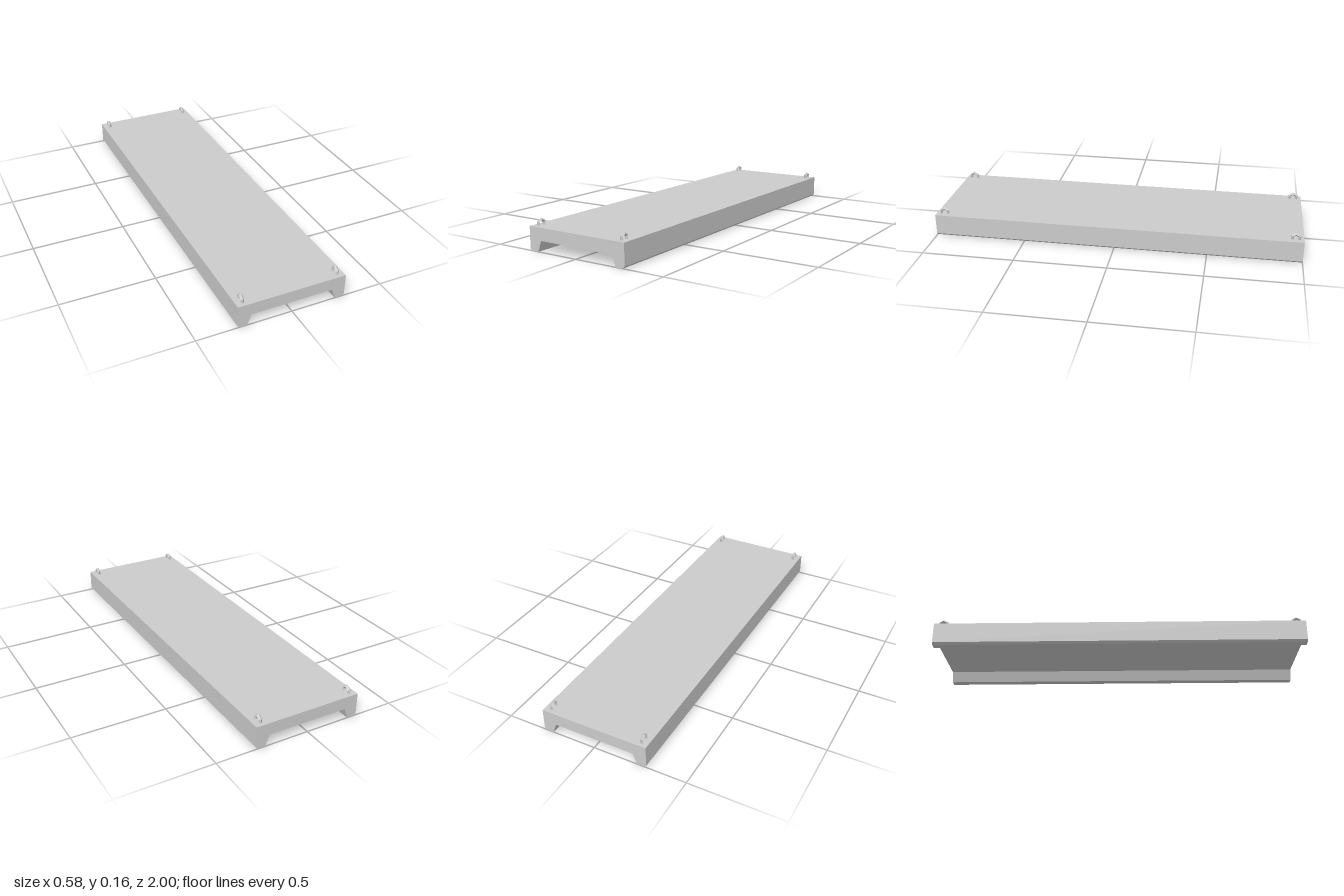
import * as THREE from 'three';

export function createModel() {
  const model = new THREE.Group();
  const material = new THREE.MeshStandardMaterial({ color: 0xcccccc, flatShading: true });

  // Channel slab: half of the cross-section, mirrored, extruded along z
  const half = [[0.217, 0.057], [0.238, 0], [0.278, 0], [0.289, 0.011], [0.289, 0.122]];
  const mirrored = half.map(([x, y]) => [-x, y]).reverse();
  const profile = new THREE.Shape([...half, ...mirrored].map(([x, y]) => new THREE.Vector2(x, y)));
  const slabGeometry = new THREE.ExtrudeGeometry(profile, { depth: 2, bevelEnabled: false });
  slabGeometry.translate(0, 0, -1);
  const slab = new THREE.Mesh(slabGeometry, material);
  slab.name = 'channelSlab';
  model.add(slab);

  // Lifting loops: six-sided rings of diamond section, partly sunk into the slab
  const loopGeometry = new THREE.TorusGeometry(0.0215, 0.009, 4, 6);
  loopGeometry.rotateZ(Math.PI / 6);
  loopGeometry.rotateY(Math.PI / 2);
  for (const [sx, side] of [[1, 'Left'], [-1, 'Right']]) {
    for (const [sz, end] of [[1, 'front'], [-1, 'back']]) {
      const loop = new THREE.Mesh(loopGeometry, material);
      loop.name = `${end}${side}LiftingLoop`;
      loop.position.set(sx * 0.254, 0.1295, sz * 0.956);
      model.add(loop);
    }
  }
  return model;
}
